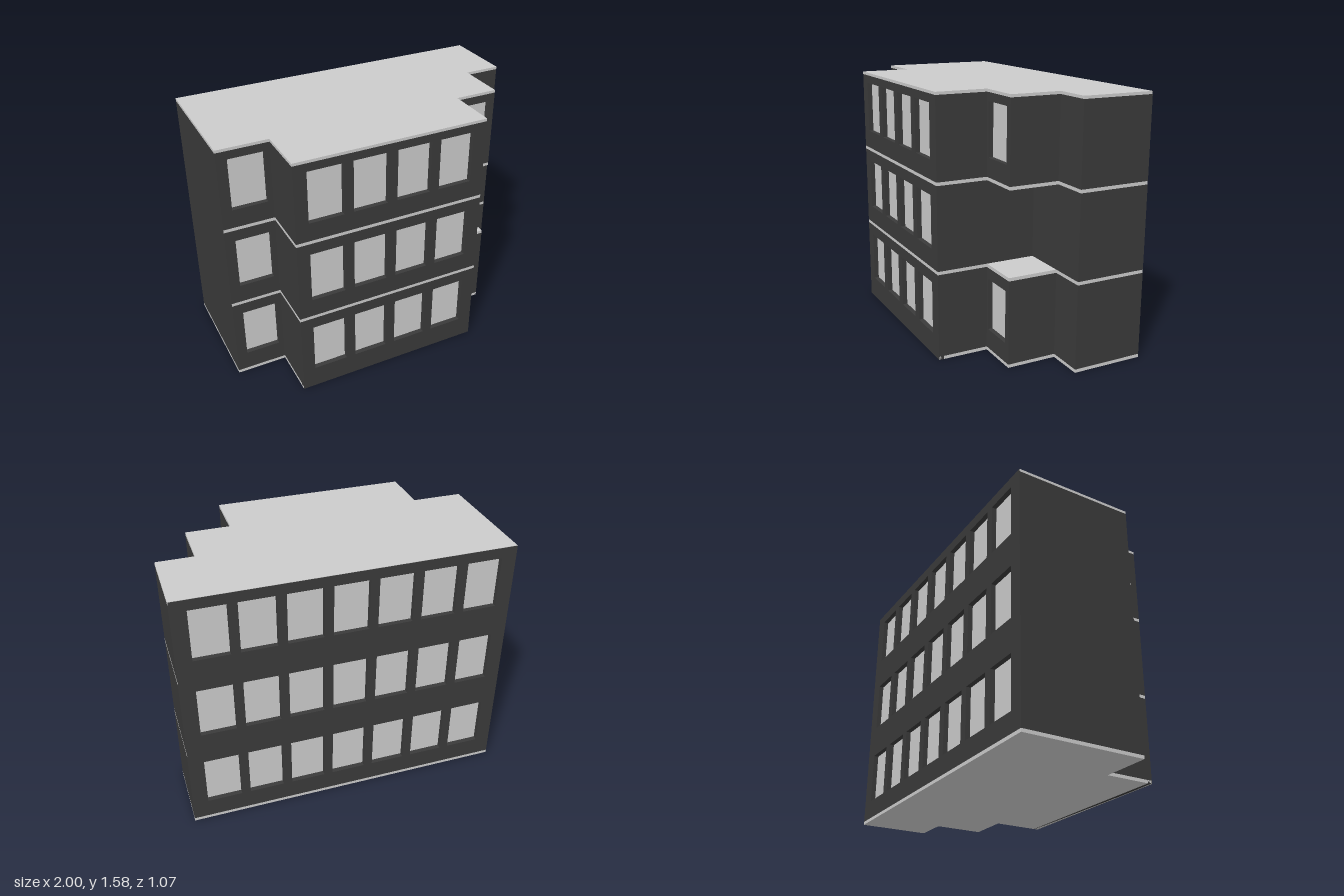
import * as THREE from 'three';

const T = 0.03;                       // wall thickness
const WIN_W = 0.213, WIN_H = 0.32;    // window opening
const STOREY = 0.525, SILL = 0.14;

const light = new THREE.MeshStandardMaterial({ color: 0xcccccc });
const dark = new THREE.MeshStandardMaterial({ color: 0x3a3a3a });

function rectPath(P, x0, y0, x1, y1) {
  const p = new P();
  p.moveTo(x0, y0); p.lineTo(x1, y0); p.lineTo(x1, y1); p.lineTo(x0, y1); p.closePath();
  return p;
}

// Wall from a to b (x, z), outer face on the line; windows are [distance along, sill height]
function wall(name, a, b, y0, y1, windows = []) {
  const dx = b[0] - a[0], dz = b[1] - a[1];
  const shape = rectPath(THREE.Shape, 0, y0, Math.hypot(dx, dz), y1);
  const group = new THREE.Group();
  group.name = name;
  for (const [u, y] of windows) {
    shape.holes.push(rectPath(THREE.Path, u - WIN_W / 2, y, u + WIN_W / 2, y + WIN_H));
    const pane = new THREE.Mesh(new THREE.BoxGeometry(WIN_W + 0.02, WIN_H + 0.02, 0.01), light);
    pane.name = 'windowPane';
    pane.position.set(u, y + WIN_H / 2, -T - 0.005);
    group.add(pane);
  }
  const geo = new THREE.ExtrudeGeometry(shape, { depth: T, bevelEnabled: false });
  geo.translate(0, 0, -T);
  const mesh = new THREE.Mesh(geo, dark);
  mesh.name = 'wallPanel';
  group.add(mesh);
  group.position.set(a[0], 0, a[1]);
  group.rotation.y = Math.atan2(-dz, dx);
  return group;
}

// Horizontal slab over a plan outline
function slab(name, outline, y0, y1) {
  const shape = new THREE.Shape(outline.map(([x, z]) => new THREE.Vector2(x, -z)));
  const geo = new THREE.ExtrudeGeometry(shape, { depth: y1 - y0, bevelEnabled: false });
  geo.rotateX(-Math.PI / 2);
  geo.translate(0, y0, 0);
  const mesh = new THREE.Mesh(geo, light);
  mesh.name = name;
  return mesh;
}

export function createModel() {
  const model = new THREE.Group();
  model.name = 'building';

  // Stepped plan, from the front left bay round to the back
  const plan = [[-1, 0.22], [-0.69, 0.22], [-0.69, 0.535], [0.505, 0.535], [0.505, 0.22],
    [0.775, 0.22], [0.775, -0.09], [1, -0.09], [1, -0.535], [-1, -0.535]];
  // Middle storey leaves the right bay open as a balcony
  const middlePlan = [...plan.slice(0, 4), [0.505, -0.09], ...plan.slice(7)];
  const inset = (back, left, front = 0) => plan.map(([x, z]) => [
    x === -1 ? x + left : x, z === -0.535 ? z + back : z === 0.535 ? z - front : z]);

  // Slabs
  model.add(slab('baseSlab', inset(0, 0, 0.002), 0, 0.02));
  model.add(slab('firstFloorSlab', inset(0.002, 0.002), 0.53, 0.55));
  model.add(slab('secondFloorSlab', inset(0.002, 0.002), 1.055, 1.075));
  model.add(slab('roofSlab', inset(0.002, 0), 1.56, 1.577));

  // Storey walls on the front and right
  const levels = [[0.02, 0.53], [0.55, 1.055], [1.075, 1.56]];
  const windowX = [-0.829, -0.503, -0.231, 0.041, 0.313, 0.628];
  levels.forEach(([y0, y1], i) => {
    const storey = new THREE.Group();
    storey.name = `storey${i + 1}`;
    const outline = i === 1 ? middlePlan : plan;
    for (let k = 0; k < outline.length - 2; k++) {
      const a = outline[k], b = outline[k + 1];
      const facesFront = a[1] === b[1] && a[1] > 0;
      const windows = facesFront
        ? windowX.filter(x => x > a[0] && x < b[0]).map(x => [x - a[0], SILL + i * STOREY])
        : [];
      const bottom = i === 0 && a[1] === 0.535 && facesFront ? 0 : y0;
      storey.add(wall(facesFront ? 'frontWall' : 'stepWall', a, b, bottom, y1, windows));
    }
    model.add(storey);
  });

  // Full-height back wall with three rows of seven windows, and blank left wall
  const backWindows = [];
  for (let i = 0; i < 3; i++)
    for (let k = 0; k < 7; k++) backWindows.push([0.198 + k * 0.267, SILL + i * STOREY]);
  model.add(wall('backWall', [0.998, -0.535], [-0.998, -0.535], 0.02, 1.575, backWindows));
  model.add(wall('leftWall', [-1, -0.535], [-1, 0.217], 0.02, 1.56));

  return model;
}
